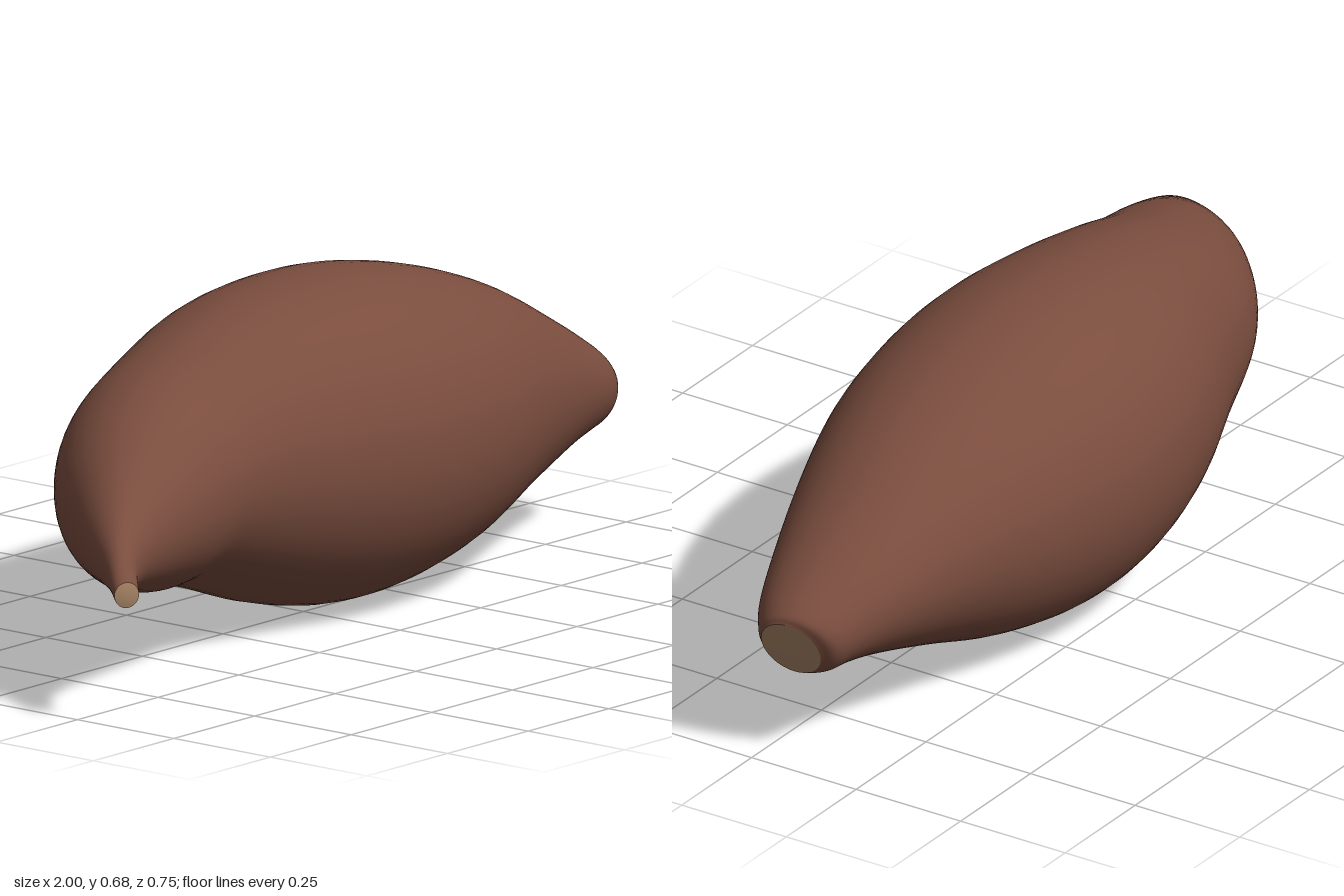
import * as THREE from 'three';

// Cross-sections along the root:
// x, x shift at the front, x shift at the top, top y, bottom y, back z, front z
const SECTIONS = [
  [-0.977, 0.022, 0.0, 0.295, 0.243, 0.345, 0.372],
  [-0.93, 0.03, 0.0, 0.345, 0.25, 0.29, 0.325],
  [-0.85, 0.05, 0.0, 0.40, 0.237, 0.20, 0.287],
  [-0.74, 0.08, 0.0, 0.47, 0.205, 0.085, 0.262],
  [-0.61, 0.09, 0.0, 0.54, 0.167, -0.06, 0.24],
  [-0.48, 0.06, 0.0, 0.585, 0.15, -0.18, 0.23],
  [-0.33, 0.02, 0.0, 0.63, 0.105, -0.26, 0.235],
  [-0.16, 0.0, 0.0, 0.665, 0.047, -0.335, 0.255],
  [0.02, 0.0, 0.0, 0.68, 0.008, -0.373, 0.276],
  [0.2, 0.0, 0.0, 0.671, 0.006, -0.377, 0.271],
  [0.4, 0.0, 0.0, 0.63, 0.043, -0.345, 0.235],
  [0.6, 0.0, 0.0, 0.56, 0.11, -0.29, 0.165],
  [0.78, 0.0, 0.0, 0.467, 0.165, -0.235, 0.095],
  [0.9, 0.01, 0.02, 0.385, 0.186, -0.195, 0.04],
  [0.955, 0.01, 0.03, 0.34, 0.188, -0.17, 0.005],
  [0.972, 0.01, 0.025, 0.318, 0.192, -0.138, -0.013],
];
const AROUND = 64;
const STEPS = 6; // rings per section

// Smooth interpolation of the section values
function sectionSampler() {
  const curve = (f) => new THREE.CatmullRomCurve3(SECTIONS.map((s) => new THREE.Vector3(...f(s))), false, 'catmullrom', 0.5);
  const shift = curve((s) => [s[0], s[1], s[2]]);
  const centre = curve((s) => [(s[3] + s[4]) / 2, (s[5] + s[6]) / 2, 0]);
  const radius = curve((s) => [(s[3] - s[4]) / 2, (s[6] - s[5]) / 2, 0]);
  return (t) => {
    const s = shift.getPoint(t), c = centre.getPoint(t), r = radius.getPoint(t);
    const ring = [];
    for (let j = 0; j < AROUND; j++) {
      const a = (j / AROUND) * Math.PI * 2;
      const up = Math.cos(a), front = Math.sin(a);
      ring.push(s.x + s.y * front + s.z * up, c.x + r.x * up, c.y + r.y * front);
    }
    return ring;
  };
}

function makeGeometry(positions, index) {
  const g = new THREE.BufferGeometry();
  g.setAttribute('position', new THREE.Float32BufferAttribute(positions, 3));
  g.setIndex(index);
  g.computeVertexNormals();
  return g;
}

// Skin lofted through all rings
function skinGeometry(sample) {
  const rings = (SECTIONS.length - 1) * STEPS;
  const positions = [], index = [];
  for (let i = 0; i <= rings; i++) positions.push(...sample(i / rings));
  for (let i = 0; i < rings; i++) {
    for (let j = 0; j < AROUND; j++) {
      const k = (j + 1) % AROUND;
      const a = i * AROUND + j, c = i * AROUND + k;
      const b = a + AROUND, d = c + AROUND;
      index.push(a, c, b, c, d, b);
    }
  }
  return makeGeometry(positions, index);
}

// Slightly domed cut face closing one end
function cutGeometry(ring, bulge, flip) {
  const mid = [0, 0, 0];
  ring.forEach((v, n) => { mid[n % 3] += v / AROUND; });
  const positions = [...ring, ...mid.map((v, n) => v + bulge[n])];
  const index = [];
  for (let j = 0; j < AROUND; j++) {
    const k = (j + 1) % AROUND;
    if (flip) index.push(AROUND, k, j);
    else index.push(AROUND, j, k);
  }
  return makeGeometry(positions, index);
}

export function createModel() {
  const skinMaterial = new THREE.MeshStandardMaterial({ color: 0x7a4d3e });
  skinMaterial.name = 'brown skin';
  const fleshMaterial = new THREE.MeshStandardMaterial({ color: 0xa88466 });
  fleshMaterial.name = 'tan flesh';

  const group = new THREE.Group();
  group.name = 'sweetPotato';
  const add = (name, geometry, material) => {
    const mesh = new THREE.Mesh(geometry, material);
    mesh.name = name;
    group.add(mesh);
  };

  const sample = sectionSampler();
  add('skin', skinGeometry(sample), skinMaterial);
  add('stemCut', cutGeometry(sample(1), [0.005, -0.001, 0], false), fleshMaterial);
  add('tailCut', cutGeometry(sample(0), [-0.003, -0.001, 0.005], true), fleshMaterial);
  return group;
}
